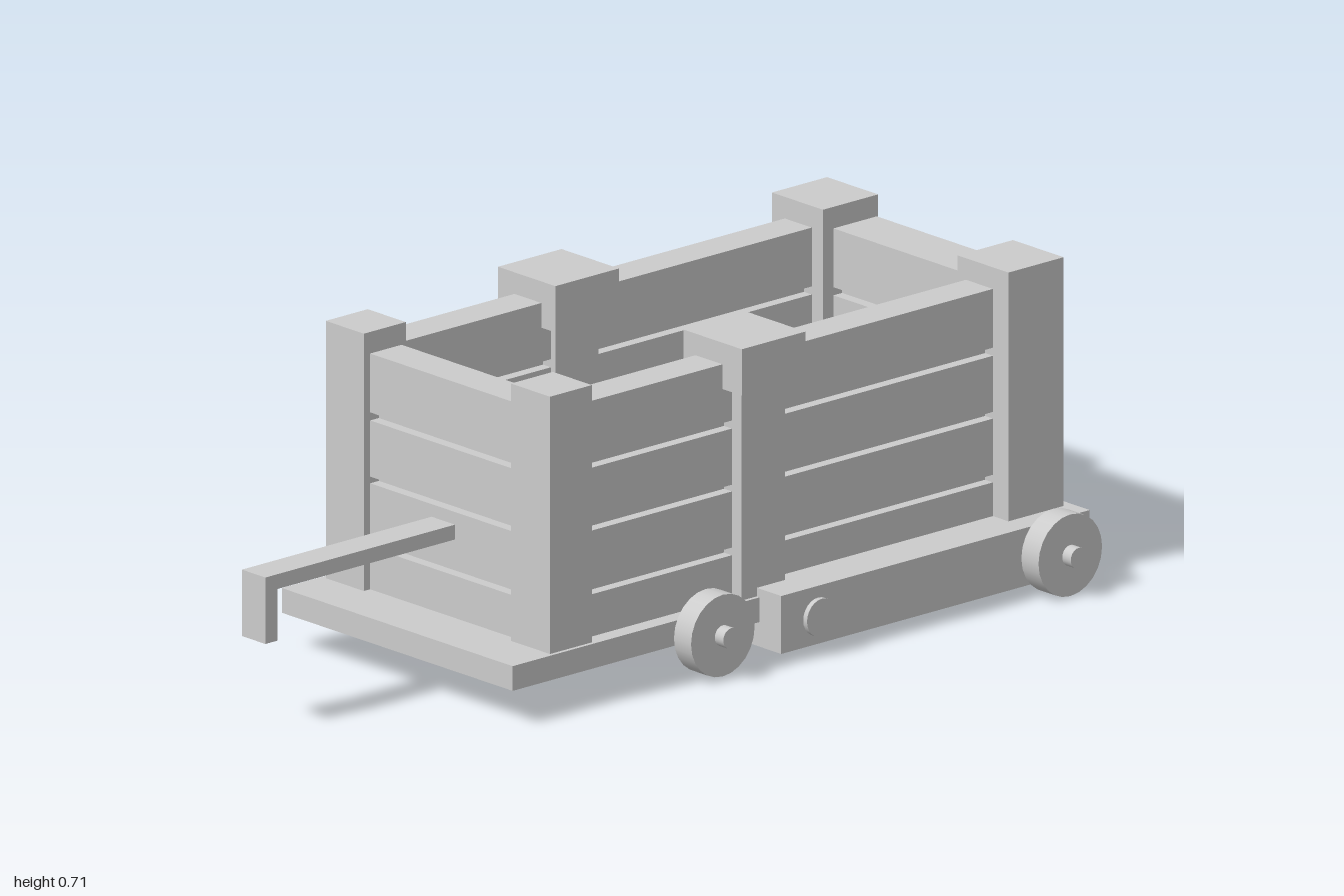
import * as THREE from 'three';

const mat = new THREE.MeshStandardMaterial({ color: 0xcccccc });

export function createModel() {
  const root = new THREE.Group();
  root.name = 'woodenCart';

  // Box given by its extents on each axis
  const box = (name, [x0, x1], [y0, y1], [z0, z1]) => {
    const m = new THREE.Mesh(new THREE.BoxGeometry(x1 - x0, y1 - y0, z1 - z0), mat);
    m.position.set((x0 + x1) / 2, (y0 + y1) / 2, (z0 + z1) / 2);
    m.name = name;
    root.add(m);
  };
  // Cylinder lying along x or z between two coordinates
  const rod = (name, axis, r, a, b, u, v) => {
    const g = new THREE.CylinderGeometry(r, r, Math.abs(b - a), 24);
    const mid = (a + b) / 2;
    const m = new THREE.Mesh(g, mat);
    if (axis === 'x') {
      g.rotateZ(Math.PI / 2);
      m.position.set(mid, u, v);
    } else {
      g.rotateX(Math.PI / 2);
      m.position.set(u, v, mid);
    }
    m.name = name;
    root.add(m);
  };

  // Floor and the U-shaped rear chassis under it
  box('floor', [-0.353, 0.375], [0.08, 0.135], [-0.95, 0.59]);
  box('rightRail', [-0.438, -0.304], [0.025, 0.154], [-0.995, -0.117]);
  box('leftRail', [0.316, 0.443], [0.025, 0.154], [-0.995, -0.117]);
  box('rearRail', [-0.438, 0.443], [0.025, 0.154], [-1, -0.865]);

  // Corner posts, middle posts and their caps
  const posts = [
    ['right', [-0.341, -0.221], [-0.361, -0.2], [-0.372, -0.191]],
    ['left', [0.243, 0.366], [0.225, 0.385], [0.213, 0.397]],
  ];
  for (const [side, slim, wide, cap] of posts) {
    box(side + 'FrontPost', slim, [0.13, 0.708], [0.355, 0.475]);
    box(side + 'RearPost', wide, [0.13, 0.708], [-0.978, -0.82]);
    box(side + 'MiddlePost', slim, [0.13, 0.62], [-0.197, -0.073]);
    box(side + 'PostCap', cap, [0.605, 0.708], [-0.228, -0.046]);
  }

  // Plank walls: four boards with narrow gaps over a thin recessed core
  const boards = [[0.135, 0.229], [0.246, 0.371], [0.386, 0.511], [0.529, 0.66]];
  const walls = [
    ['frontWall', [-0.27, 0.3], [0.367, 0.457], 'z'],
    ['rearWall', [-0.27, 0.3], [-0.974, -0.85], 'z'],
    ['rightWall', [-0.32, -0.235], [-0.9, 0.4], 'x'],
    ['leftWall', [0.251, 0.336], [-0.9, 0.4], 'x'],
  ];
  const inset = ([a, b]) => [a + 0.025, b - 0.025];
  for (const [name, x, z, thin] of walls) {
    boards.forEach((y, i) => box(name + 'Board' + (i + 1), x, y, z));
    box(name + 'Core', thin === 'x' ? inset(x) : x, [0.135, 0.65], thin === 'z' ? inset(z) : z);
  }

  // Pull handle
  box('handleBar', [-0.027, 0.047], [0.31, 0.343], [0.42, 1]);
  box('handleGrip', [-0.027, 0.047], [0.195, 0.343], [0.965, 1]);

  // Wheels and axles
  const axles = [
    ['front', 0.098, 0.041, [-0.418, -0.364], [0.379, 0.433], [-0.447, 0.46]],
    ['rear', 0.092, -0.889, [-0.509, -0.455], [0.45, 0.504], [-0.535, 0.531]],
  ];
  for (const [name, y, z, right, left, axle] of axles) {
    rod(name + 'RightWheel', 'x', 0.091, right[0], right[1], y, z);
    rod(name + 'LeftWheel', 'x', 0.091, left[0], left[1], y, z);
    rod(name + 'Axle', 'x', 0.023, axle[0], axle[1], y, z);
  }
  for (const [a, b] of [[-0.448, -0.4], [0.4, 0.45]])
    rod('rearAxleBoss', 'x', 0.042, a, b, 0.092, -0.889);

  // Round bolt heads on the rails and the rear posts
  for (const [a, b] of [[-0.452, -0.4], [0.4, 0.455]])
    rod('railBolt', 'x', 0.042, a, b, 0.086, -0.222);
  for (const x of [-0.288, 0.304])
    rod('postBolt', 'z', 0.042, -0.992, -0.95, x, 0.623);

  return root;
}
